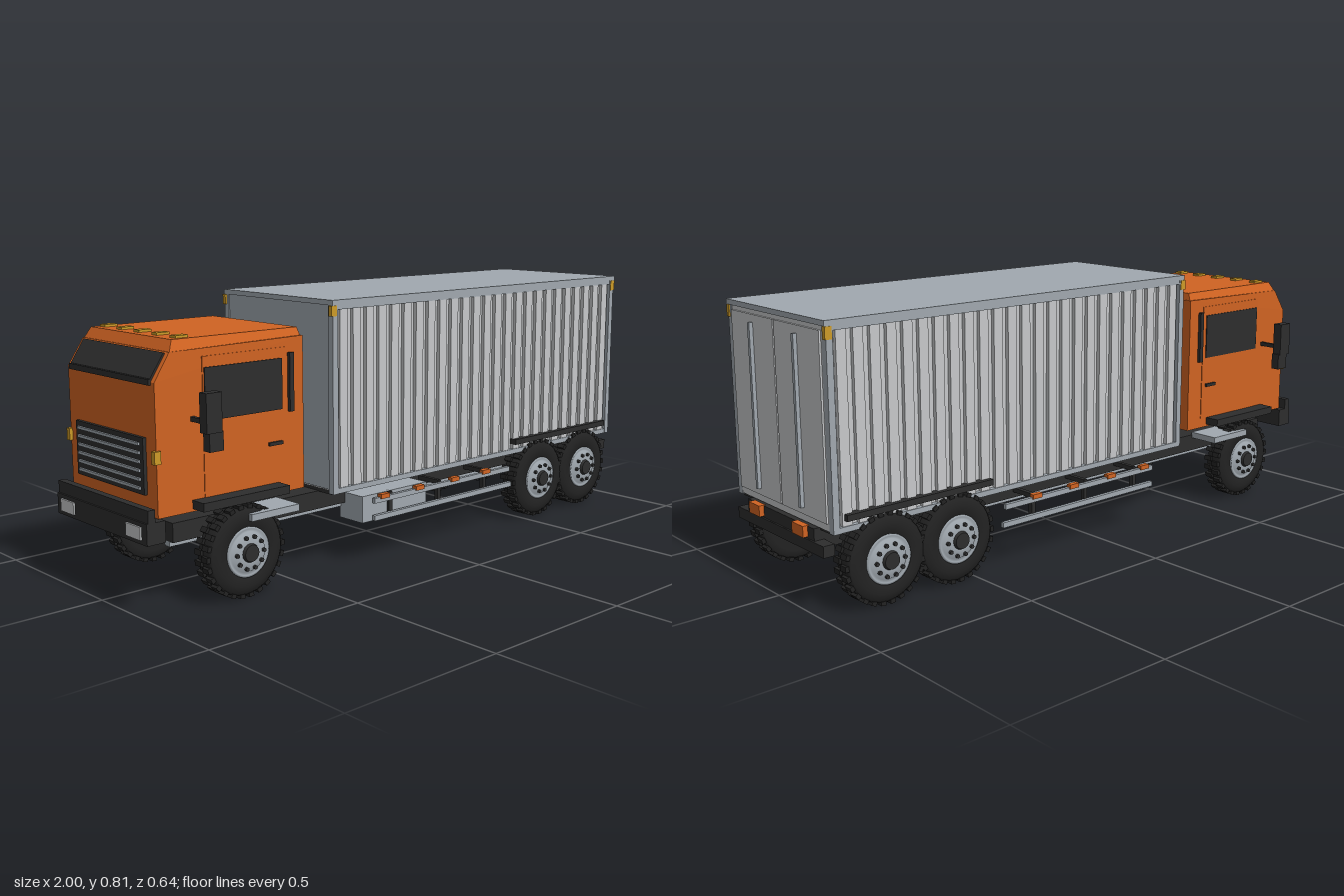
import * as THREE from 'three';
import { ConvexGeometry } from 'three/addons/geometries/ConvexGeometry.js';

const mat = (name, color) => {
  const m = new THREE.MeshStandardMaterial({ color });
  m.name = name;
  return m;
};

export function createModel() {
  const orange = mat('orange paint', 0xd06322);
  const black = mat('black plastic', 0x2d2d2d);
  const rubber = mat('tyre rubber', 0x222222);
  const steel = mat('grey steel', 0xa0a8af);
  const panel = mat('light panel', 0xc6c8ca);
  const amber = mat('amber lamp', 0xcc9a28);

  const truck = new THREE.Group();
  truck.name = 'truck';
  const group = (name, parent = truck) => {
    const g = new THREE.Group();
    g.name = name;
    parent.add(g);
    return g;
  };
  const add = (parent, name, geometry, material) => {
    const m = new THREE.Mesh(geometry, material);
    m.name = name;
    parent.add(m);
    return m;
  };
  // Box given by its limits on each axis
  const box = (parent, name, material, x0, x1, y0, y1, z0, z1) => {
    const m = add(parent, name, new THREE.BoxGeometry(x1 - x0, y1 - y0, z1 - z0), material);
    m.position.set((x0 + x1) / 2, (y0 + y1) / 2, (z0 + z1) / 2);
    return m;
  };
  // The same box on both sides of the truck
  const pair = (parent, name, material, x0, x1, y0, y1, z0, z1) => {
    box(parent, name, material, x0, x1, y0, y1, z0, z1);
    box(parent, name, material, x0, x1, y0, y1, -z1, -z0);
  };
  const hull = (points) => new ConvexGeometry(
    points.flatMap(([x, y, z]) => [new THREE.Vector3(x, y, z), new THREE.Vector3(x, y, -z)]));

  // Chassis
  const chassis = group('chassis');
  box(chassis, 'chassisFrame', black, -0.88, 0.97, 0.18, 0.235, -0.178, 0.178);
  pair(chassis, 'chassisRail', steel, -0.88, 0.5, 0.165, 0.18, 0.137, 0.16);
  box(chassis, 'rearBumper', black, 0.955, 0.99, 0.172, 0.205, -0.23, 0.23);
  box(chassis, 'rearCrossmember', black, 0.95, 0.985, 0.2, 0.24, -0.178, 0.178);
  pair(chassis, 'tailLamp', orange, 0.98, 1.0, 0.21, 0.242, 0.088, 0.146);

  // Cargo container with ribbed sides
  const cargo = group('container');
  box(cargo, 'containerCore', panel, -0.36, 0.965, 0.245, 0.79, -0.24, 0.24);
  box(cargo, 'containerFloor', black, -0.36, 0.965, 0.233, 0.246, -0.24, 0.24);
  box(cargo, 'containerRoof', steel, -0.372, 0.977, 0.793, 0.808, -0.257, 0.257);
  box(cargo, 'frontWall', steel, -0.367, -0.359, 0.25, 0.793, -0.24, 0.24);
  pair(cargo, 'topBeam', steel, -0.365, 0.97, 0.78, 0.794, 0.235, 0.255);
  pair(cargo, 'bottomBeam', steel, -0.365, 0.97, 0.238, 0.254, 0.235, 0.255);
  for (const x of [-0.37, 0.952]) {
    pair(cargo, 'cornerPost', steel, x, x + 0.02, 0.238, 0.795, 0.235, 0.256);
  }
  const ribs = 25, pitch = 1.302 / ribs;
  for (let i = 0; i < ribs; i++) {
    const x = -0.35 + (i + 0.2) * pitch;
    pair(cargo, 'sideRib', panel, x, x + pitch * 0.6, 0.254, 0.78, 0.239, 0.252);
  }
  pair(cargo, 'cornerLamp', amber, 0.955, 0.976, 0.758, 0.792, 0.245, 0.258);
  pair(cargo, 'cornerLamp', amber, -0.376, -0.355, 0.762, 0.792, 0.245, 0.258);

  // Rear doors
  box(cargo, 'doorFrame', panel, 0.96, 0.971, 0.242, 0.793, -0.236, 0.236);
  pair(cargo, 'rearDoor', panel, 0.965, 0.977, 0.264, 0.78, 0.003, 0.23);
  pair(cargo, 'lockBar', steel, 0.975, 0.988, 0.284, 0.758, 0.11, 0.121);

  // Cab body and roof
  const cab = group('cab');
  add(cab, 'cabBody', hull([
    [-0.95, 0.268, 0.217], [-0.95, 0.63, 0.217], [-0.9, 0.705, 0.215],
    [-0.45, 0.712, 0.217], [-0.45, 0.268, 0.217]]), orange);
  add(cab, 'cabRoof', hull([
    [-0.9, 0.7, 0.215], [-0.452, 0.7, 0.215],
    [-0.882, 0.735, 0.2], [-0.458, 0.735, 0.2]]), orange);
  for (let i = -2; i <= 2; i++) {
    box(cab, 'roofLamp', amber, -0.86, -0.82, 0.732, 0.742, i * 0.087 - 0.013, i * 0.087 + 0.013);
  }
  // Sloping windscreen
  const screen = box(cab, 'windscreen', black, -0.93, -0.922, 0.63, 0.708, -0.2, 0.2);
  screen.position.set(-0.926, 0.669, 0);
  screen.rotation.z = -Math.atan2(0.05, 0.075);
  box(cab, 'windscreenSill', black, -0.957, -0.945, 0.622, 0.638, -0.2, 0.2);

  // Grille, front lamps and bumper
  box(cab, 'grille', black, -0.96, -0.948, 0.325, 0.48, -0.17, 0.17);
  for (let i = 0; i < 6; i++) {
    const y = 0.338 + i * 0.024;
    box(cab, 'grilleBar', steel, -0.966, -0.955, y, y + 0.008, -0.155, 0.155);
  }
  pair(cab, 'frontMarker', amber, -0.96, -0.94, 0.415, 0.45, 0.208, 0.224);
  box(cab, 'frontBumper', black, -0.995, -0.937, 0.205, 0.265, -0.23, 0.23);
  box(cab, 'bumperLip', black, -0.99, -0.968, 0.26, 0.3, -0.23, 0.23);
  pair(cab, 'headlamp', panel, -1.0, -0.993, 0.217, 0.253, 0.135, 0.205);

  // Doors, side windows and mirrors
  pair(cab, 'cabDoor', orange, -0.8, -0.515, 0.3, 0.685, 0.214, 0.219);
  pair(cab, 'sideWindow', black, -0.795, -0.53, 0.51, 0.655, 0.215, 0.222);
  pair(cab, 'grabRail', black, -0.507, -0.492, 0.5, 0.668, 0.215, 0.228);
  pair(cab, 'doorHandle', black, -0.58, -0.532, 0.41, 0.42, 0.215, 0.226);
  pair(cab, 'mirrorArm', black, -0.84, -0.828, 0.515, 0.528, 0.21, 0.3);
  pair(cab, 'upperMirror', black, -0.86, -0.81, 0.497, 0.604, 0.287, 0.318);
  pair(cab, 'lowerMirror', black, -0.85, -0.805, 0.447, 0.5, 0.287, 0.315);

  // Mudguards and cab steps
  pair(truck, 'frontMudguard', black, -0.84, -0.545, 0.276, 0.3, 0.195, 0.268);
  pair(truck, 'rearMudguard', black, 0.44, 0.935, 0.27, 0.288, 0.195, 0.266);
  pair(truck, 'cabStep', steel, -0.69, -0.52, 0.224, 0.244, 0.175, 0.28);

  // Side guards and tool box
  const guard = group('sideGuards');
  pair(guard, 'lowerRail', steel, -0.22, 0.41, 0.134, 0.15, 0.262, 0.274);
  pair(guard, 'upperRail', steel, -0.22, 0.4, 0.188, 0.204, 0.262, 0.274);
  for (const x of [-0.145, 0.07, 0.285]) {
    pair(guard, 'guardPost', black, x - 0.007, x + 0.007, 0.134, 0.21, 0.25, 0.264);
    pair(guard, 'guardBracket', black, x - 0.007, x + 0.007, 0.198, 0.212, 0.17, 0.262);
  }
  for (const x of [-0.18, -0.03, 0.13, 0.28]) {
    pair(guard, 'sideMarker', orange, x - 0.018, x + 0.018, 0.199, 0.213, 0.262, 0.279);
  }
  box(truck, 'toolBox', steel, -0.255, 0.02, 0.13, 0.212, 0.155, 0.255);

  // Wheels: profiles are [radius, distance from the inner face]
  const lathe = (pts) => new THREE.LatheGeometry(pts.map(([r, h]) => new THREE.Vector2(r, h)), 40);
  const tyreGeo = lathe([[0, 0.004], [0.1, 0], [0.118, 0.004], [0.126, 0.01],
    [0.126, 0.054], [0.118, 0.062], [0.1, 0.067], [0.072, 0.066], [0.068, 0.055], [0, 0.055]]);
  const rimGeo = lathe([[0.072, 0.056], [0.072, 0.069], [0.066, 0.069], [0.058, 0.066],
    [0.052, 0.075], [0.03, 0.077], [0, 0.077]]);
  const hubGeo = new THREE.CylinderGeometry(0.024, 0.029, 0.014, 16);
  const boltGeo = new THREE.CylinderGeometry(0.006, 0.006, 0.01, 8);
  const blockGeo = new THREE.BoxGeometry(0.012, 0.027, 0.016);
  const treads = 26, bolts = 10;

  for (const side of [1, -1]) {
    for (const x of [-0.695, 0.57, 0.81]) {
      const wheel = group(x < 0 ? 'frontWheel' : 'rearWheel');
      wheel.position.set(x, 0.136, side * 0.2);
      wheel.rotation.x = side * Math.PI / 2;
      add(wheel, 'tyre', tyreGeo, rubber);
      add(wheel, 'rim', rimGeo, steel);
      add(wheel, 'hub', hubGeo, black).position.y = 0.079;
      for (let i = 0; i < bolts; i++) {
        const a = (i / bolts) * Math.PI * 2;
        add(wheel, 'wheelBolt', boltGeo, black)
          .position.set(Math.cos(a) * 0.046, 0.078, Math.sin(a) * 0.046);
      }
      // Two staggered rows of tread blocks
      for (let i = 0; i < treads * 2; i++) {
        const a = (i / (treads * 2)) * Math.PI * 2;
        const block = add(wheel, 'treadBlock', blockGeo, rubber);
        block.position.set(Math.cos(a) * 0.128, i % 2 ? 0.0155 : 0.0465, Math.sin(a) * 0.128);
        block.rotation.y = -a;
      }
    }
  }
  return truck;
}
